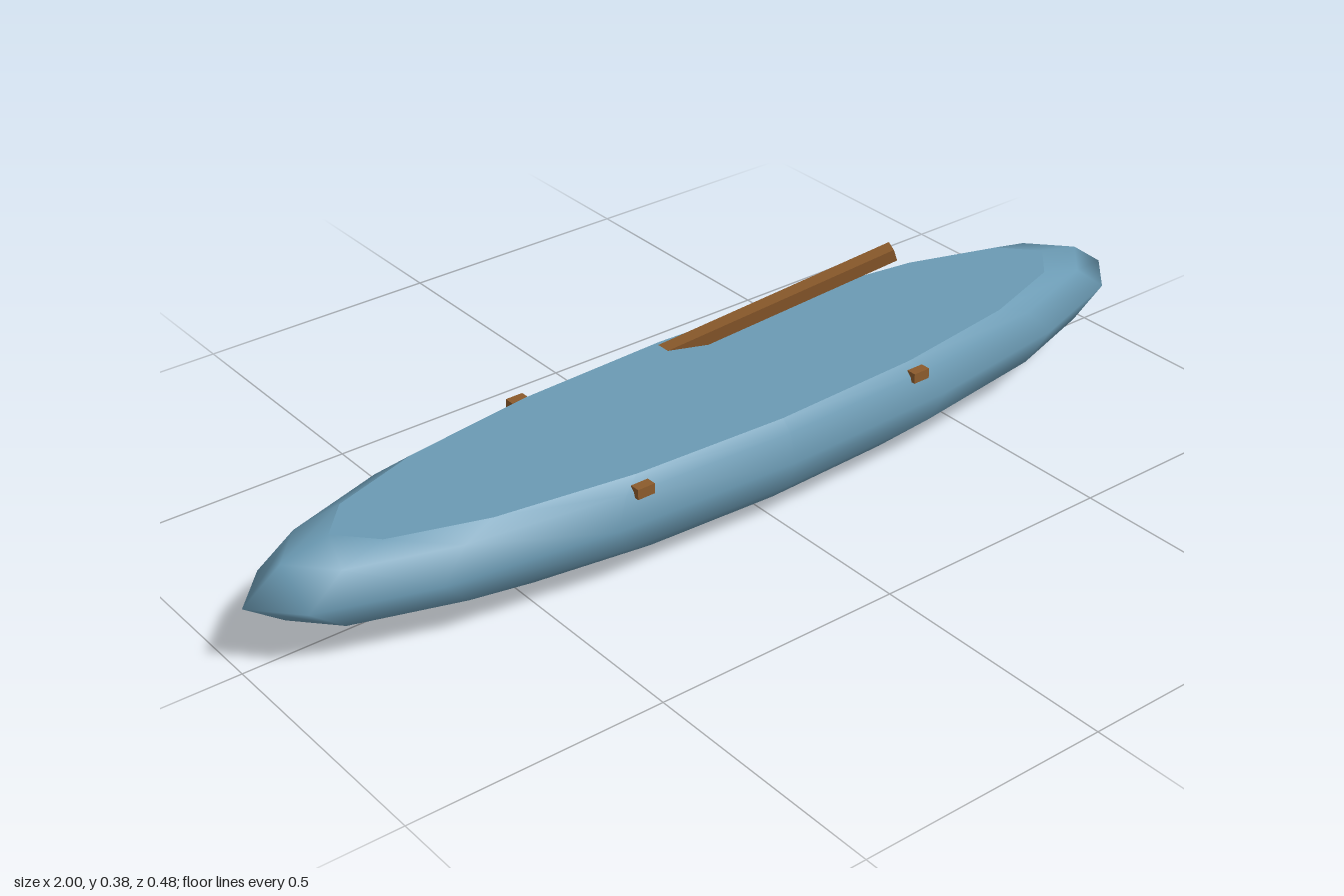
import * as THREE from 'three';

export function createModel() {
  const model = new THREE.Group();
  model.name = 'rowingBoat';
  const hullBlue = new THREE.MeshStandardMaterial({ color: 0x6b9ab3 });
  hullBlue.name = 'hullBlue';
  const wood = new THREE.MeshStandardMaterial({ color: 0x8b5a2b });
  wood.name = 'wood';

  const add = (name, geometry, material, x, y, z) => {
    const mesh = new THREE.Mesh(geometry, material);
    mesh.name = name;
    mesh.position.set(x, y, z);
    model.add(mesh);
    return mesh;
  };

  // Hull: a stretched 16-sided ellipsoid sliced flat at deck height
  const midY = 0.147, midZ = 0.026, radiusY = 0.145, radiusZ = 0.217;
  const rimRadius = 0.83, rimHeight = 0.524;
  const profile = [];
  for (let i = 0; i <= 5; i++) {
    const a = -Math.PI / 2 + (i * Math.PI) / 8;
    profile.push(new THREE.Vector2(i === 0 ? 0 : Math.cos(a), Math.sin(a)));
  }
  profile.push(new THREE.Vector2(rimRadius, rimHeight));
  const hull = new THREE.LatheGeometry(profile, 16).scale(1, radiusY, radiusZ);
  add('hull', hull, hullBlue, 0, midY, midZ);

  // Flat deck closing the slice
  const deck = new THREE.CircleGeometry(rimRadius, 16).rotateX(-Math.PI / 2).scale(1, 1, radiusZ);
  add('deck', deck, hullBlue, 0, midY + rimHeight * radiusY, midZ);

  // Four small blocks on the gunwales
  for (const sx of [-1, 1]) {
    for (const sz of [-1, 1]) {
      add('oarlock', new THREE.BoxGeometry(0.036, 0.02, 0.02), wood, sx * 0.32, 0.203, midZ + sz * 0.188);
    }
  }

  // Oar leaning across the rear edge
  const oar = add('oar', new THREE.BoxGeometry(0.72, 0.027, 0.027), wood, 0.089, 0.247, -0.089);
  oar.rotation.set(0, -0.396, 0.372, 'ZYX');

  return model;
}
